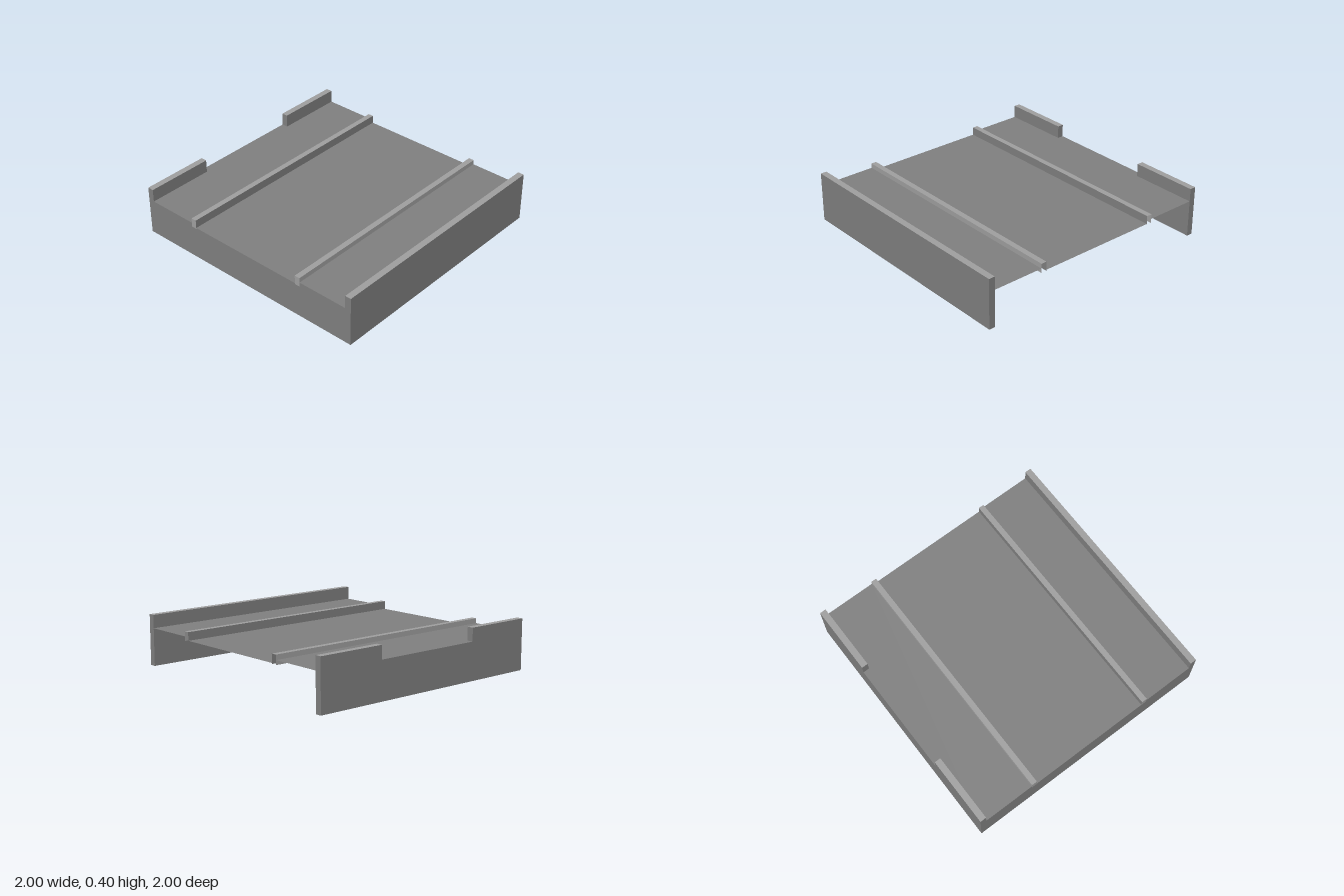
import * as THREE from 'three';

const FACES = ['px', 'nx', 'py', 'ny', 'pz', 'nz'];

export function createModel() {
  const model = new THREE.Group();
  model.name = 'platform';

  const grey = new THREE.MeshStandardMaterial({ color: 0x808080, side: THREE.DoubleSide });
  grey.name = 'midGrey';
  const pale = new THREE.MeshStandardMaterial({ color: 0xa0a0a0, side: THREE.DoubleSide });
  pale.name = 'paleGrey';

  // Sheet-metal box: only the listed faces exist, some of them pale
  function shell(name, [x0, x1], [y0, y1], [z0, z1], faces, paleFaces) {
    const geo = new THREE.BoxGeometry(x1 - x0, y1 - y0, z1 - z0);
    const all = Array.from(geo.index.array);
    const index = [];
    geo.clearGroups();
    for (const face of faces) {
      const start = FACES.indexOf(face) * 6;
      geo.addGroup(index.length, 6, paleFaces.includes(face) ? 1 : 0);
      index.push(...all.slice(start, start + 6));
    }
    geo.setIndex(index);
    geo.translate((x0 + x1) / 2, (y0 + y1) / 2, (z0 + z1) / 2);
    const mesh = new THREE.Mesh(geo, [grey, pale]);
    mesh.name = name;
    model.add(mesh);
  }

  // Flat horizontal deck sheet
  function deck(name, x0, x1, y) {
    const geo = new THREE.PlaneGeometry(x1 - x0, 2).rotateX(-Math.PI / 2);
    geo.translate((x0 + x1) / 2, y, 0);
    const mesh = new THREE.Mesh(geo, grey);
    mesh.name = name;
    model.add(mesh);
  }

  const H = 0.398, SIDE = 0.295, MID = 0.268;
  const RAIL_IN = 0.492, RAIL_OUT = 0.536, RAIL_LOW = 0.26, RAIL_TOP = 0.333;
  const CURB = 0.95, NOTCH = 0.453;

  // Decks: the middle one lies slightly lower
  deck('middleDeck', -RAIL_IN, RAIL_IN, MID);
  deck('leftDeck', RAIL_OUT, CURB, SIDE);
  deck('rightDeck', -1, -RAIL_OUT, SIDE);

  // Rails, open underneath and at the back
  const railFaces = ['px', 'nx', 'py', 'pz'];
  shell('leftRail', [RAIL_IN, RAIL_OUT], [RAIL_LOW, RAIL_TOP], [-1, 1], railFaces, ['px', 'py', 'pz']);
  shell('rightRail', [-RAIL_OUT, -RAIL_IN], [RAIL_LOW, RAIL_TOP], [-1, 1], railFaces, ['nx', 'py', 'pz']);

  // Side walls, open underneath
  const wallFaces = ['px', 'nx', 'py', 'pz', 'nz'];
  shell('leftWall', [CURB, 1], [0, H], [-1, 1], wallFaces, ['py']);
  shell('rightFrontWall', [-1, -CURB], [0, H], [NOTCH, 1], wallFaces, ['py']);
  shell('rightBackWall', [-1, -CURB], [0, H], [-1, -NOTCH], wallFaces, ['py']);

  // Thin skin between the two right wall blocks
  const skin = new THREE.Mesh(new THREE.PlaneGeometry(2 * NOTCH, SIDE), grey);
  skin.name = 'rightWallSkin';
  skin.rotation.y = -Math.PI / 2;
  skin.position.set(-1, SIDE / 2, 0);
  model.add(skin);

  // Front panel, stepped around the rails
  const half = [
    [CURB, 0], [CURB, SIDE], [RAIL_OUT, SIDE], [RAIL_OUT, RAIL_LOW],
    [RAIL_IN, RAIL_LOW], [RAIL_IN, MID],
  ];
  const outline = [...half, ...half.map(([x, y]) => [-x, y]).reverse()];
  const front = new THREE.Mesh(
    new THREE.ShapeGeometry(new THREE.Shape(outline.map(([x, y]) => new THREE.Vector2(x, y)))),
    grey,
  );
  front.name = 'frontPanel';
  front.position.z = 1;
  model.add(front);

  return model;
}
